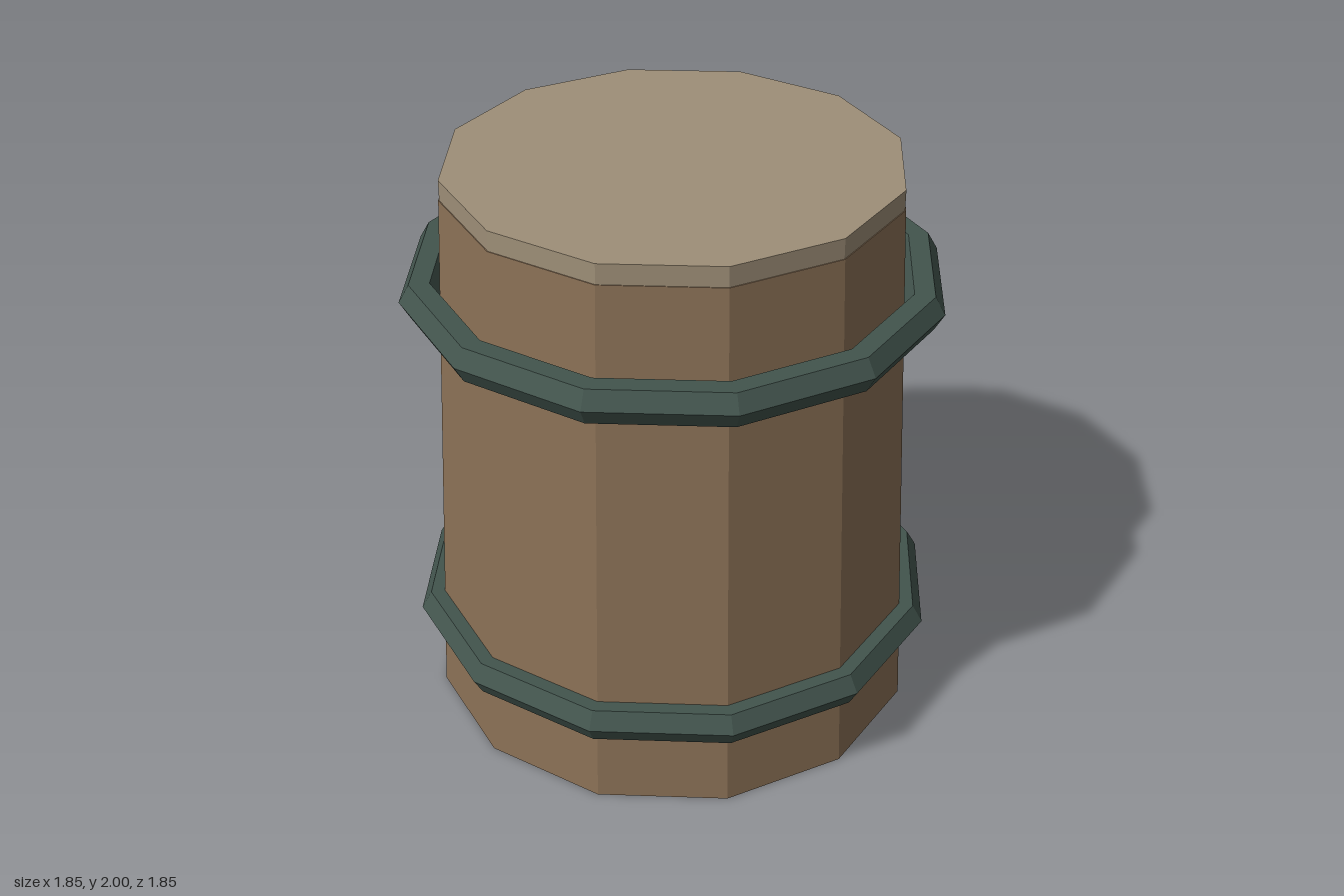
import * as THREE from 'three';

const SIDES = 12;

export function createModel() {
  const model = new THREE.Group();
  model.name = 'barrel';

  const material = (color) => new THREE.MeshStandardMaterial({ color, flatShading: true });
  const wood = material(0x8b7156);
  const lidWood = material(0x9e8f78);
  const iron = material(0x42544d);

  const add = (name, geometry, mat, y) => {
    const mesh = new THREE.Mesh(geometry, mat);
    mesh.name = name;
    mesh.position.y = y;
    model.add(mesh);
  };

  // Tapered staves with a closed bottom
  add('body', new THREE.CylinderGeometry(0.772, 0.856, 1.93, SIDES), wood, 0.965);

  // Flat lid
  add('lid', new THREE.CylinderGeometry(0.769, 0.769, 0.07, SIDES), lidWood, 1.965);

  // Hoops with a hexagonal section
  const hoop = new THREE.TorusGeometry(0.853, 0.07, 6, SIDES).rotateX(-Math.PI / 2);
  add('lowerHoop', hoop, iron, 0.334);
  add('upperHoop', hoop, iron, 1.576);

  return model;
}
